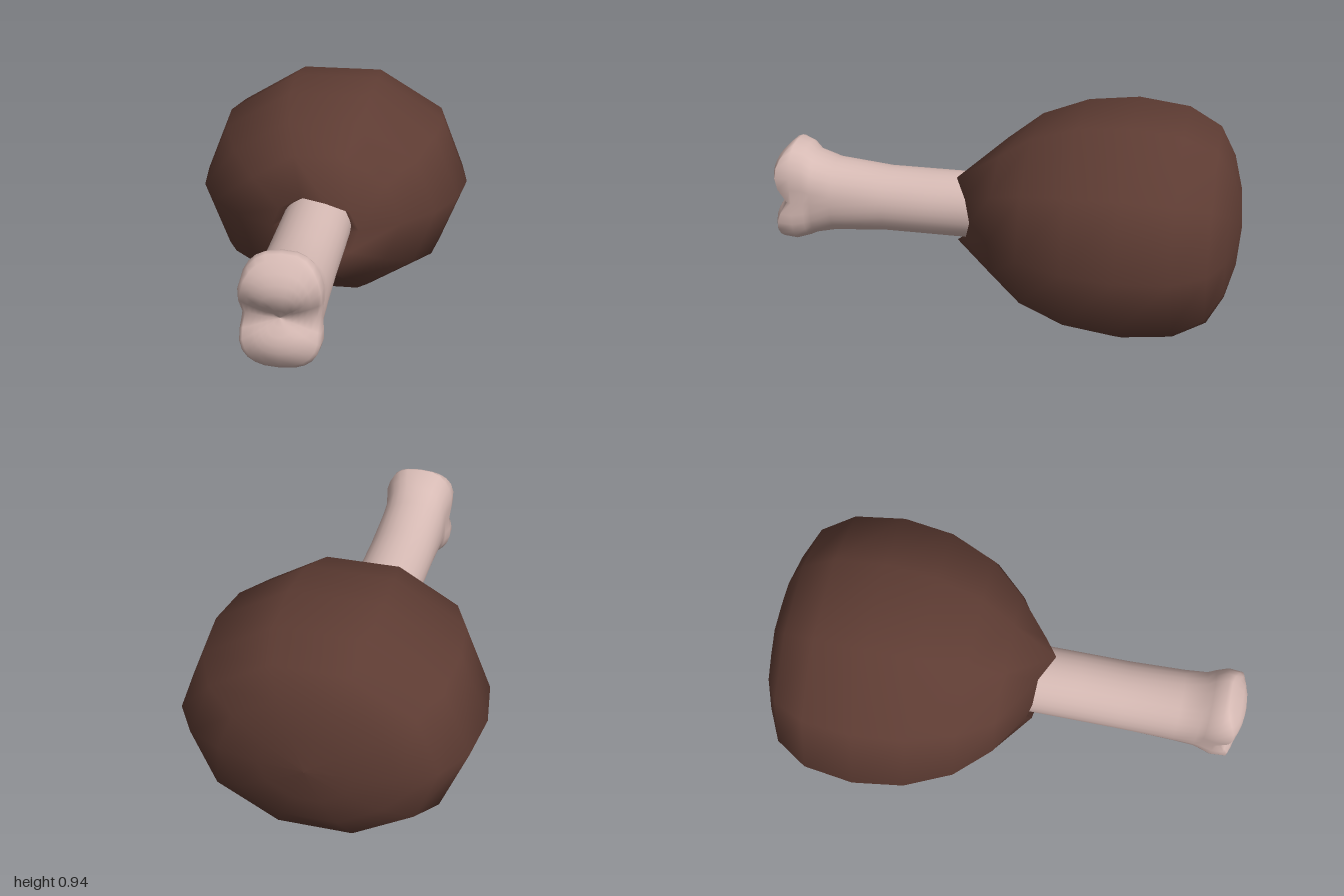
import * as THREE from 'three';

const CENTER_Y = 0.472;

// Skin a list of rings (equal point counts, ordered back to front) into a smooth surface.
function loft(rings) {
  const n = rings[0].length;
  const position = rings.flat(2);
  const index = [];
  for (let i = 0; i < rings.length - 1; i++) {
    for (let j = 0; j < n; j++) {
      const a = i * n + j, b = i * n + (j + 1) % n;
      index.push(a, b, a + n, b, b + n, a + n);
    }
  }
  const geometry = new THREE.BufferGeometry();
  geometry.setAttribute('position', new THREE.Float32BufferAttribute(position, 3));
  geometry.setIndex(index);
  geometry.computeVertexNormals();
  return geometry;
}

const ring = (n, point) => Array.from({ length: n }, (_, j) => point(j / n * Math.PI * 2, j));

// Ten-sided oval meat; the front rim is ragged where it meets the bone.
function meatGeometry() {
  const profile = [ // z, half width
    [-1, 0.001], [-0.988, 0.185], [-0.95, 0.35], [-0.885, 0.485], [-0.75, 0.571],
    [-0.54, 0.6], [-0.33, 0.571], [-0.14, 0.485], [0, 0.353],
  ];
  const oval = (r, a, z) => [r * Math.cos(a), r * 0.825 * Math.sin(a), z];
  const rings = profile.map(([z, r]) => ring(10, a => oval(r, a, z)));
  const rim = [0.11, 0.135, 0.19, 0.135, 0.13, 0.11, 0.13, 0.14, 0.19, 0.135];
  rings.push(ring(10, (a, j) => oval(0.184, a, rim[j])));
  rings.push(ring(10, a => oval(0.12, a, 0.02))); // lip tucked inside
  return loft(rings);
}

// Bone shaft flaring into two knuckles with a groove between them.
function boneGeometry() {
  const n = 28;
  const power = (v, p) => Math.sign(v) * Math.abs(v) ** p;
  const section = (rx, top, bottom, k) => a => {
    const s = Math.sin(a);
    const y = power(s, 1 - 0.12 * k) * (s > 0 ? top : bottom);
    const waist = 1 - 0.13 * k * Math.exp(-((y / 0.08) ** 2));
    return [rx * power(Math.cos(a), 1 - 0.3 * k) * waist, y];
  };
  const profile = [ // z, half width, top, bottom, knuckle amount
    [0, 0.145, 0.14, 0.14, 0], [0.3, 0.145, 0.14, 0.14, 0], [0.5, 0.145, 0.14, 0.14, 0],
    [0.73, 0.15, 0.163, 0.157, 0.2], [0.82, 0.152, 0.193, 0.177, 0.5],
    [0.85, 0.157, 0.225, 0.19, 0.8], [0.9, 0.17, 0.243, 0.204, 1],
  ];
  const rings = profile.map(([z, ...shape]) => {
    const at = section(...shape);
    return ring(n, a => [...at(a), z]);
  });
  // Rounded grooved end face
  const end = section(0.17, 0.243, 0.204, 1);
  for (const s of [0.975, 0.9, 0.75, 0.6, 0.45, 0.3, 0.15, 0.001]) {
    rings.push(ring(n, a => {
      const [x, y] = end(a).map(v => v * s);
      const groove = 0.05 * Math.exp(-((y / 0.05) ** 2));
      const edge = Math.max(0, (Math.abs(y) - 0.11) / 0.12) ** 2;
      return [x, y, 1 - groove - 0.075 * edge - 0.03 * (x / 0.14) ** 2];
    }));
  }
  return loft(rings);
}

export function createModel() {
  const group = new THREE.Group();
  group.name = 'drumstick';
  const meatBrown = new THREE.MeshStandardMaterial({ color: 0x5e3c33, side: THREE.DoubleSide });
  meatBrown.name = 'meatBrown';
  const bonePink = new THREE.MeshStandardMaterial({ color: 0xd6bab4 });
  bonePink.name = 'bonePink';

  const parts = [['meat', meatGeometry(), meatBrown], ['bone', boneGeometry(), bonePink]];
  for (const [name, geometry, material] of parts) {
    const mesh = new THREE.Mesh(geometry, material);
    mesh.name = name;
    mesh.position.y = CENTER_Y;
    group.add(mesh);
  }
  return group;
}
